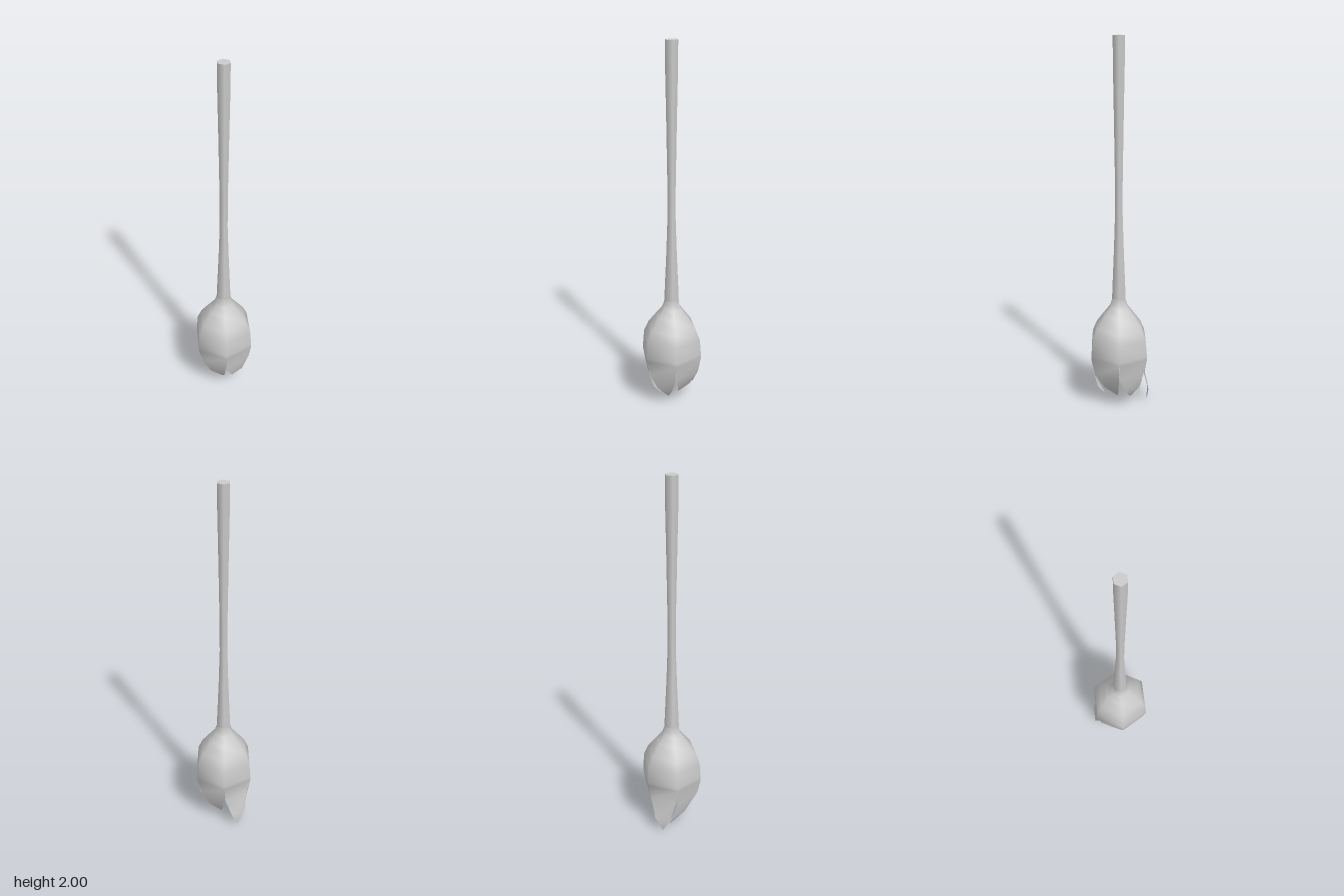
import * as THREE from 'three';
import { mergeGeometries, mergeVertices } from 'three/addons/utils/BufferGeometryUtils.js';

const SIDES = 6;
const material = new THREE.MeshStandardMaterial({ color: 0xcccccc, side: THREE.DoubleSide });

// Six-sided turned surface with a corner on the x axis; points run upward as [radius, y]
function hexLathe(points) {
  const profile = points.map(([r, y]) => new THREE.Vector2(r, y));
  return new THREE.LatheGeometry(profile, SIDES, Math.PI / 2);
}

// Join surfaces and smooth the normals across their shared corners
function smoothJoin(geometries) {
  const plain = geometries.map((g) => {
    const copy = g.index ? g.toNonIndexed() : g.clone();
    copy.deleteAttribute('uv');
    copy.deleteAttribute('normal');
    return copy;
  });
  const joined = mergeVertices(mergeGeometries(plain), 1e-4);
  joined.computeVertexNormals();
  return joined;
}

// One petal: a strip hanging from one edge of the bell rim, narrowing to a tip
function petalGeometry(angle, tip) {
  const out = new THREE.Vector3(Math.sin(angle), 0, Math.cos(angle));
  const side = new THREE.Vector3(Math.cos(angle), 0, -Math.sin(angle));
  const at = (apothem, y) => out.clone().multiplyScalar(apothem).setY(y);
  const upper = at(0.136, 0.19);
  const lower = upper.clone().lerp(tip, 0.58).addScaledVector(out, 0.016);
  const rows = [
    [at(RIM_RADIUS * Math.cos(Math.PI / 6), RIM_Y), RIM_RADIUS / 2],
    [upper, 0.074],
    [lower, 0.043],
    [tip, 0.004],
  ];
  const positions = [];
  for (const [center, half] of rows) {
    for (const s of [-1, 1]) positions.push(...center.clone().addScaledVector(side, s * half).toArray());
  }
  const index = [];
  for (let i = 0; i < rows.length - 1; i++) {
    const a = i * 2;
    index.push(a, a + 2, a + 1, a + 1, a + 2, a + 3);
  }
  const geometry = new THREE.BufferGeometry();
  geometry.setAttribute('position', new THREE.Float32BufferAttribute(positions, 3));
  geometry.setIndex(index);
  return geometry;
}

const RIM_RADIUS = 0.174;
const RIM_Y = 0.28;

export function createModel() {
  const group = new THREE.Group();
  const add = (name, geometry) => {
    const mesh = new THREE.Mesh(geometry, material);
    mesh.name = name;
    group.add(mesh);
    return mesh;
  };

  // Stem, slimmest near the middle
  add('stem', hexLathe([
    [0.042, 0.6], [0.041, 0.64], [0.03, 0.88], [0.023, 1.08],
    [0.023, 1.25], [0.029, 1.6], [0.034, 1.85], [0.035, 2],
  ]));
  const cap = add('stemEnd', new THREE.CircleGeometry(0.035, SIDES));
  cap.rotation.x = -Math.PI / 2;
  cap.position.y = 2;

  // Flower: closed bell above, six loose petals below, with uneven tips
  const bell = hexLathe([
    [RIM_RADIUS, RIM_Y], [0.174, 0.3], [0.166, 0.39], [0.14, 0.45],
    [0.087, 0.52], [0.055, 0.56], [0.044, 0.59], [0.042, 0.61],
  ]);
  const tips = [
    [0.01, 0.05, 0.08], // front
    [0.045, 0.05, 0.01], // front right
    [0.055, 0.05, -0.06], // back right
    [0, 0, -0.155], // back
    [-0.025, 0.01, -0.1], // back left
    [-0.045, 0.045, 0.05], // front left
  ];
  const petals = tips.map((t, i) => petalGeometry((i * Math.PI) / 3, new THREE.Vector3(...t)));
  add('flower', smoothJoin([bell, ...petals]));

  return group;
}
